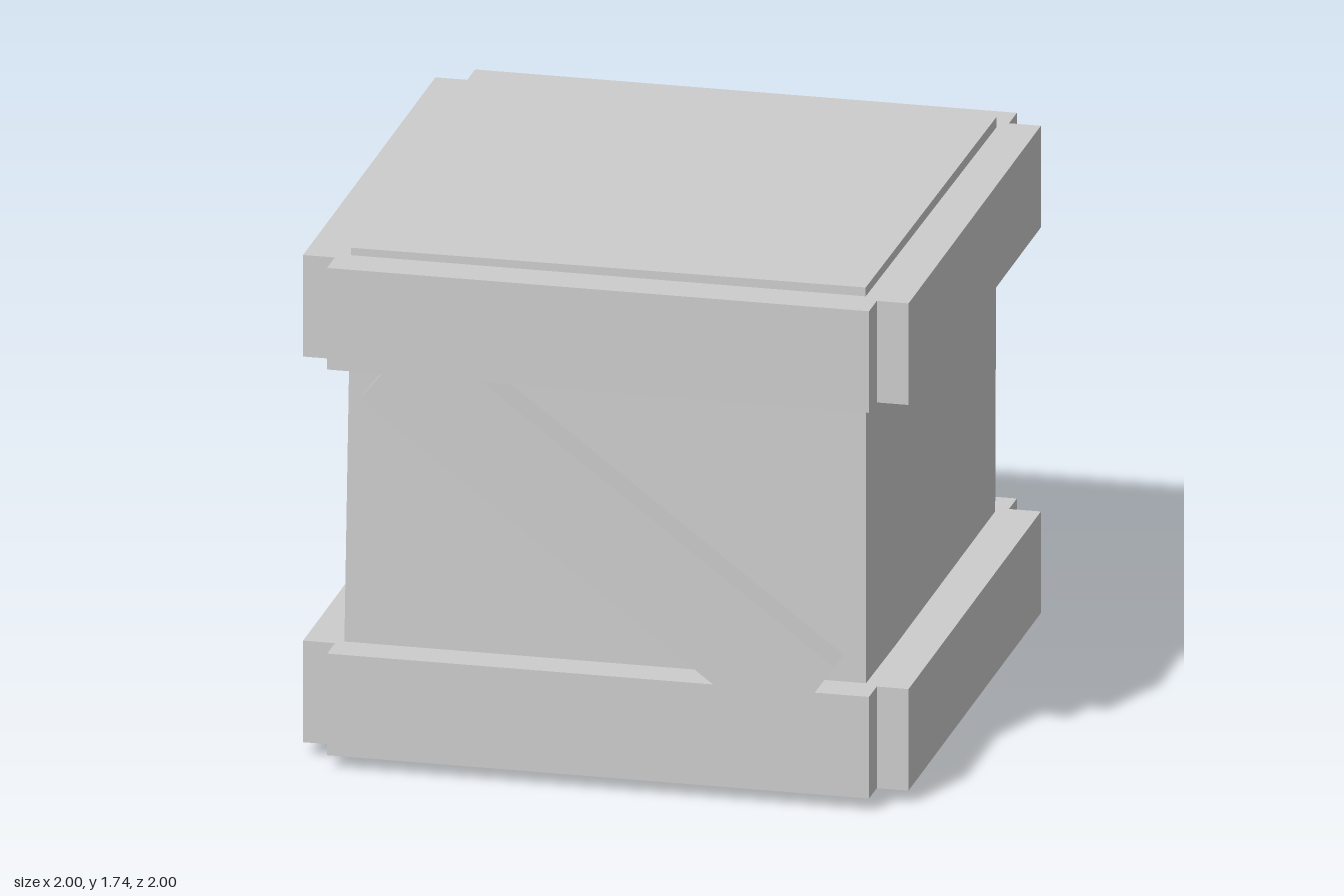
import * as THREE from 'three';

const lightGrey = new THREE.MeshStandardMaterial({ color: 0xcccccc });
lightGrey.name = 'lightGrey';

function addMesh(parent, geometry, name) {
  const mesh = new THREE.Mesh(geometry, lightGrey);
  mesh.name = name;
  parent.add(mesh);
  return mesh;
}

const toPoints = (list) => list.map(([x, y]) => new THREE.Vector2(x, y));

// Slightly crooked box: each corner of a unit cube is moved to its own place
function coreGeometry() {
  const corners = {
    '-1,-1,-1': [-0.87, 0.02, -0.87],
    '1,-1,-1': [0.855, 0.015, -0.865],
    '-1,-1,1': [-0.875, 0.005, 0.875],
    '1,-1,1': [0.855, 0, 0.875],
    '-1,1,-1': [-0.86, 1.73, -0.88],
    '1,1,-1': [0.865, 1.735, -0.85],
    '-1,1,1': [-0.85, 1.725, 0.86],
    '1,1,1': [0.85, 1.73, 0.86],
  };
  const geometry = new THREE.BoxGeometry(2, 2, 2).toNonIndexed();
  const pos = geometry.attributes.position;
  for (let i = 0; i < pos.count; i++) {
    pos.setXYZ(i, ...corners[[pos.getX(i), pos.getY(i), pos.getZ(i)].join(',')]);
  }
  geometry.computeVertexNormals();
  return geometry;
}

// Frame of four boards with notched corners
function bandGeometry(height) {
  const n = 0.895, h = 0.8;
  const shape = new THREE.Shape(toPoints([
    [-n, -1], [n, -1], [n, -n], [1, -n], [1, n], [n, n],
    [n, 1], [-n, 1], [-n, n], [-1, n], [-1, -n], [-n, -n],
  ]));
  shape.holes.push(new THREE.Path(toPoints([[-h, -h], [-h, h], [h, h], [h, -h]])));
  return new THREE.ExtrudeGeometry(shape, { depth: height, bevelEnabled: false })
    .rotateX(-Math.PI / 2);
}

// Diagonal plank whose ends are cut by the bands
function braceGeometry() {
  const shape = new THREE.Shape(toPoints([
    [-0.785, 1.265], [0.38, 0.39], [0.715, 0.39],
    [0.78, 0.48], [-0.385, 1.355], [-0.715, 1.355],
  ]));
  return new THREE.ExtrudeGeometry(shape, { depth: 0.18, bevelEnabled: false })
    .translate(0, 0, 0.82);
}

export function createModel() {
  const crate = new THREE.Group();
  crate.name = 'crate';

  addMesh(crate, coreGeometry(), 'core');

  const band = bandGeometry(0.345);
  addMesh(crate, band, 'lowerBand').position.y = 0.045;
  addMesh(crate, band, 'upperBand').position.y = 1.355;

  // Braces on front and back, turned half round
  const brace = braceGeometry();
  addMesh(crate, brace, 'frontBrace');
  addMesh(crate, brace, 'backBrace').rotation.y = Math.PI;

  return crate;
}
